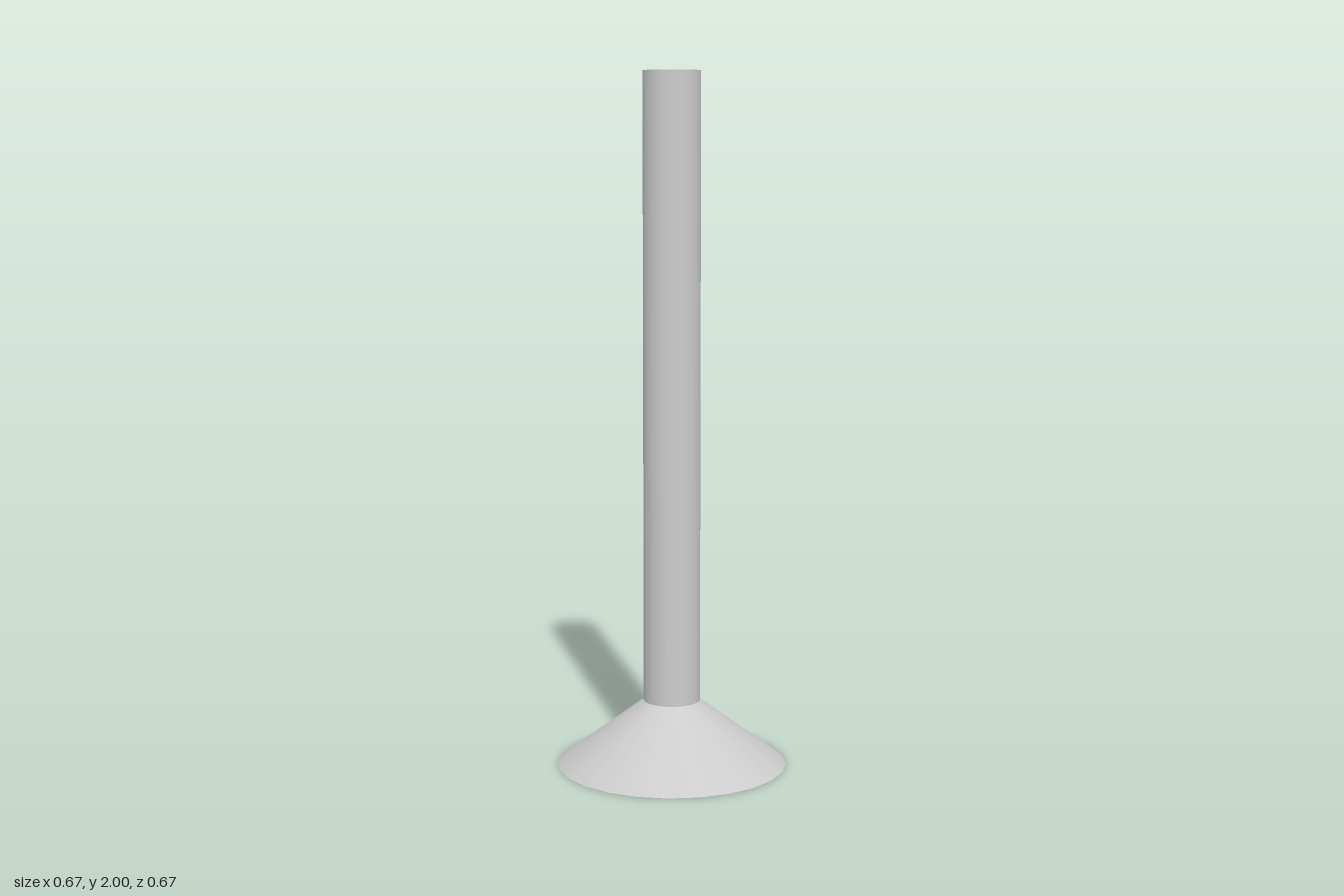
import * as THREE from 'three';
import { toCreasedNormals } from 'three/addons/utils/BufferGeometryUtils.js';

const POLE_R = 0.082, BORE_R = 0.007, BASE_R = 0.333, BASE_H = 0.19, TOP = 2;
const SEGMENTS = 72, RIM_SIDES = 24;

// Closed ring-shaped solid from an outline of [radius, height] points
function ringSolid(outline) {
  const points = [...outline, outline[0]].map(([r, y]) => new THREE.Vector2(r, y));
  return new THREE.LatheGeometry(points, SEGMENTS);
}

// Pull the wide rim onto the straight edges of a regular polygon
function facetRim(geometry) {
  const p = geometry.attributes.position;
  const step = (2 * Math.PI) / RIM_SIDES;
  for (let i = 0; i < p.count; i++) {
    const x = p.getX(i), z = p.getZ(i), r = Math.hypot(x, z);
    if (r < POLE_R * 2) continue;
    const a = Math.atan2(x, z) + 2 * Math.PI + 1e-6;
    const offset = (a % step) - step / 2;
    const k = Math.cos(step / 2) / Math.cos(offset);
    p.setXYZ(i, x * k, p.getY(i), z * k);
  }
  return geometry;
}

export function createModel() {
  const group = new THREE.Group();
  const material = new THREE.MeshStandardMaterial({ color: 0xcccccc });
  const add = (name, geometry) => {
    const mesh = new THREE.Mesh(toCreasedNormals(geometry, 0.6), material);
    mesh.name = name;
    group.add(mesh);
  };

  // Tall pole with a fine bore down its axis
  add('pole', ringSolid([
    [POLE_R, BASE_H], [POLE_R, TOP], [BORE_R, TOP], [BORE_R, BASE_H],
  ]));

  // Flared conical foot with a wide hole underneath
  add('base', facetRim(ringSolid([
    [BASE_R, 0], [POLE_R, BASE_H], [POLE_R, 0],
  ])));

  return group;
}
